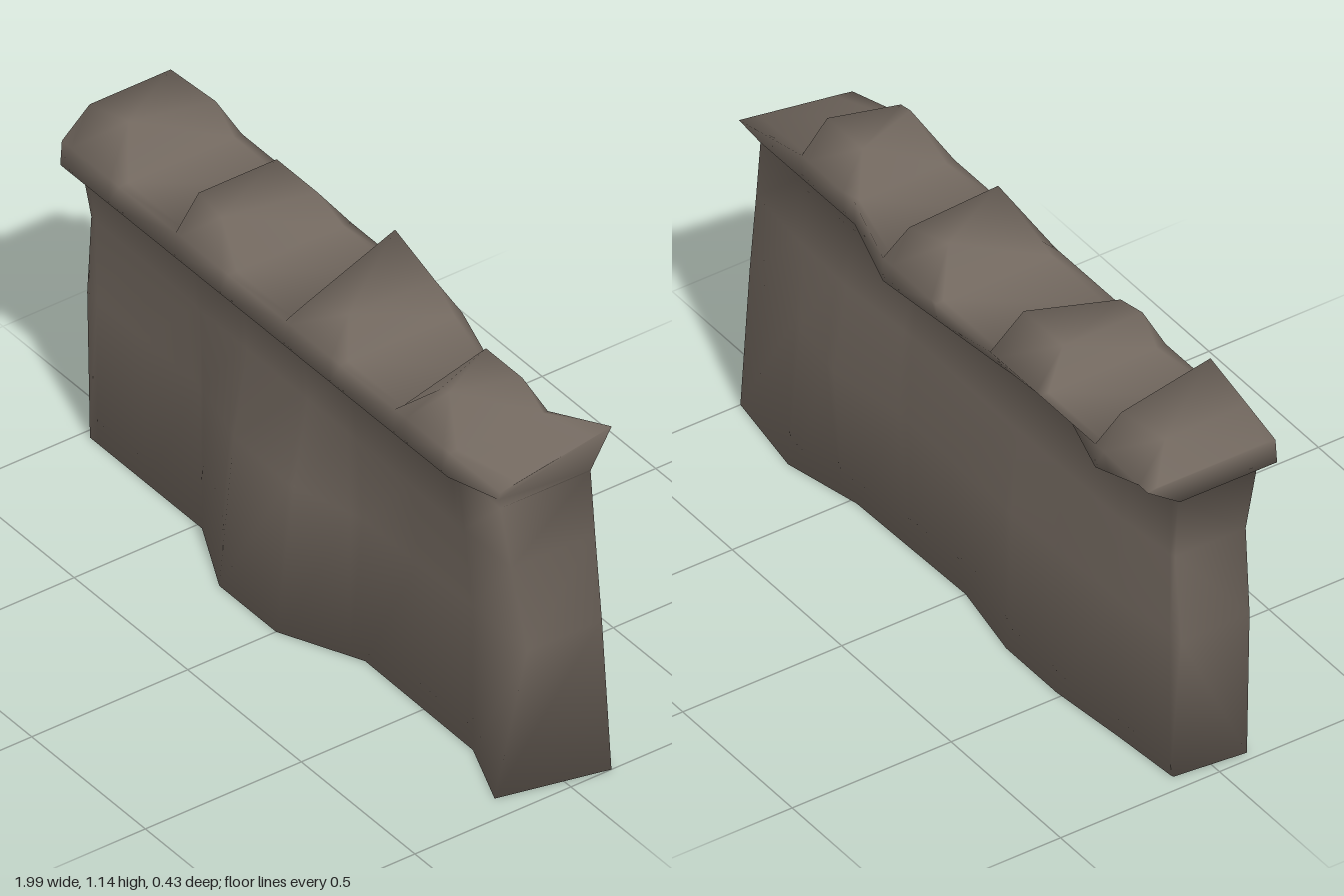
import * as THREE from 'three';

const stone = new THREE.MeshStandardMaterial({ color: 0x71675e });
stone.name = 'weathered stone';

// Piecewise-linear lookup through [x, value] keys
function along(keys, x) {
  if (x <= keys[0][0]) return keys[0][1];
  for (let i = 1; i < keys.length; i++) {
    const [x0, v0] = keys[i - 1], [x1, v1] = keys[i];
    if (x <= x1) return v0 + (v1 - v0) * (x - x0) / (x1 - x0);
  }
  return keys[keys.length - 1][1];
}

// Depth of each horizontal edge along the wall
const footF = [[-0.98, 0.105], [-0.48, 0.105], [-0.25, 0.217], [0, 0.217], [0.24, 0.106], [0.72, 0.11], [0.9, 0.19]];
const midF = [[-0.98, 0.105], [-0.48, 0.11], [-0.25, 0.17], [0, 0.18], [0.24, 0.115], [0.9, 0.11]];
const shoulderF = [[-0.98, 0.11], [-0.48, 0.125], [0.9, 0.14]];
const neckF = [[-0.98, 0.14], [0.9, 0.16]];
const ledgeF = [[-0.98, 0.195], [0.72, 0.19], [0.9, 0.162]];
const corniceB = [[-0.98, -0.213], [-0.73, -0.205], [0.24, -0.205], [0.48, -0.13], [0.72, -0.13], [0.9, -0.2]];
const ledgeB = [[-0.98, -0.11], [-0.73, -0.205], [-0.48, -0.13], [-0.25, -0.16], [0.24, -0.205], [0.48, -0.128], [0.9, -0.13]];
const neckB = [[-0.98, -0.105], [-0.73, -0.125], [0.9, -0.125]];
const shoulderB = [[-0.98, -0.11], [-0.73, -0.135], [0.24, -0.14], [0.48, -0.155], [0.72, -0.145], [0.9, -0.125]];
const midB = [[-0.98, -0.11], [-0.73, -0.14], [-0.25, -0.16], [0.24, -0.155], [0.48, -0.195], [0.62, -0.165], [0.9, -0.125]];
const footB = [[-0.98, -0.11], [-0.73, -0.13], [-0.48, -0.155], [-0.25, -0.155], [0, -0.11], [0.48, -0.122], [0.72, -0.173], [0.9, -0.13]];

// Crest stations: x, front height, back height, front z, back z, front x if shifted
const crest = [
  [-0.98, 0.985, 0.985, 0.16, -0.18], [-0.94, 1.1, 1.1, 0.13, -0.13],
  [-0.77, 1.145, 1.09, 0.13, -0.15], [-0.73, 0.985, 0.985, 0.16, -0.18],
  [-0.48, 0.985, 0.985, 0.16, -0.18], [-0.46, 1.1, 1.1, 0.13, -0.12],
  [-0.28, 1.08, 1.1, 0.13, -0.12, -0.36], [-0.25, 0.985, 0.985, 0.16, -0.18],
  [0, 0.985, 0.985, 0.16, -0.18], [0.02, 1.03, 1.145, 0.14, -0.15],
  [0.2, 1.1, 1.085, 0.13, -0.15], [0.24, 0.985, 0.985, 0.16, -0.18],
  [0.48, 0.985, 0.985, 0.16, -0.115], [0.53, 1.095, 1.1, 0.13, -0.07, 0.6],
  [0.69, 1.1, 1.1, 0.12, -0.07, 0.63], [0.72, 0.985, 0.985, 0.16, -0.115],
  [0.9, 0.965, 1.005, 0.1, -0.14],
];

// Uneven ends: x of each section point
const leftX = [-0.973, -0.985, -0.96, -0.968, -0.98, -0.98, -0.975, -0.975, -0.98, -0.978, -0.965, -0.958, -0.985, -0.95];
const rightX = [0.925, 0.96, 0.93, 0.91, 0.905, 0.905, 0.905, 0.905, 0.905, 0.91, 0.915, 0.935, 0.965, 1.0];

// Cross-section: up the front, over the crest, down the back
function section([x, yF, yB, zF, zB, xF = x], s) {
  const end = s === crest.length - 1;
  const pts = [
    [0, along(footF, x)], [0.46, along(midF, x)], [0.72, along(shoulderF, x)], [0.91, along(neckF, x)],
    [end ? 0.935 : 0.91, along(ledgeF, x)], [end ? 0.955 : 0.985, along(ledgeF, x) - 0.005],
    [yF, zF], [yB, zB],
    [end ? 1.015 : 0.985, along(corniceB, x)], [0.91, along(ledgeB, x)],
    [0.91, along(neckB, x)], [0.72, along(shoulderB, x)], [0.46, along(midB, x)], [0, along(footB, x)],
  ];
  return pts.map(([y, z], i) => [s === 0 ? leftX[i] : end ? rightX[i] : i === 6 ? xF : x, y, z]);
}

// Smooth normals in which every face counts equally, whatever its size
function smoothNormals(points, index) {
  const normals = points.map(() => new THREE.Vector3());
  const face = new THREE.Vector3();
  for (let t = 0; t < index.length; t += 3) {
    const [a, b, c] = index.slice(t, t + 3);
    THREE.Triangle.getNormal(points[a], points[b], points[c], face);
    for (const v of [a, b, c]) normals[v].add(face);
  }
  return normals.flatMap((n) => n.normalize().toArray());
}

export function createModel() {
  const N = 14, last = crest.length - 1;
  const body = [], parapet = [];
  const quad = (list, a, b, c, d) => list.push(a, b, c, a, c, d);

  // Long sides, crest and underside; merlon tops fold along the other diagonal
  for (let s = 0; s < last; s++) {
    for (let i = 0; i < N; i++) {
      const j = (i + 1) % N, a = s * N, b = a + N;
      if (i === 6 && s % 4 === 1) quad(parapet, b + i, b + j, a + j, a + i);
      else quad(i >= 3 && i <= 9 ? parapet : body, a + i, b + i, b + j, a + j);
    }
  }
  // Both ends, closed in rows from front to back
  for (let i = 0; i < N / 2 - 1; i++) {
    const list = i >= 3 ? parapet : body, e = last * N, k = N - 1 - i;
    quad(list, e + i, e + k, e + k - 1, e + i + 1);
    quad(list, i, i + 1, k - 1, k);
  }

  // Shared smooth normals across body and parapet
  const points = crest.flatMap(section).map((p) => new THREE.Vector3(...p));
  const position = new THREE.Float32BufferAttribute(points.flatMap((p) => p.toArray()), 3);
  const normal = new THREE.Float32BufferAttribute(smoothNormals(points, [...body, ...parapet]), 3);

  const group = new THREE.Group();
  group.name = 'battlementWall';
  for (const [name, index] of [['wallBody', body], ['crenellatedParapet', parapet]]) {
    const geometry = new THREE.BufferGeometry();
    geometry.setAttribute('position', position);
    geometry.setAttribute('normal', normal);
    geometry.setIndex(index);
    const mesh = new THREE.Mesh(geometry, stone);
    mesh.name = name;
    group.add(mesh);
  }
  return group;
}
